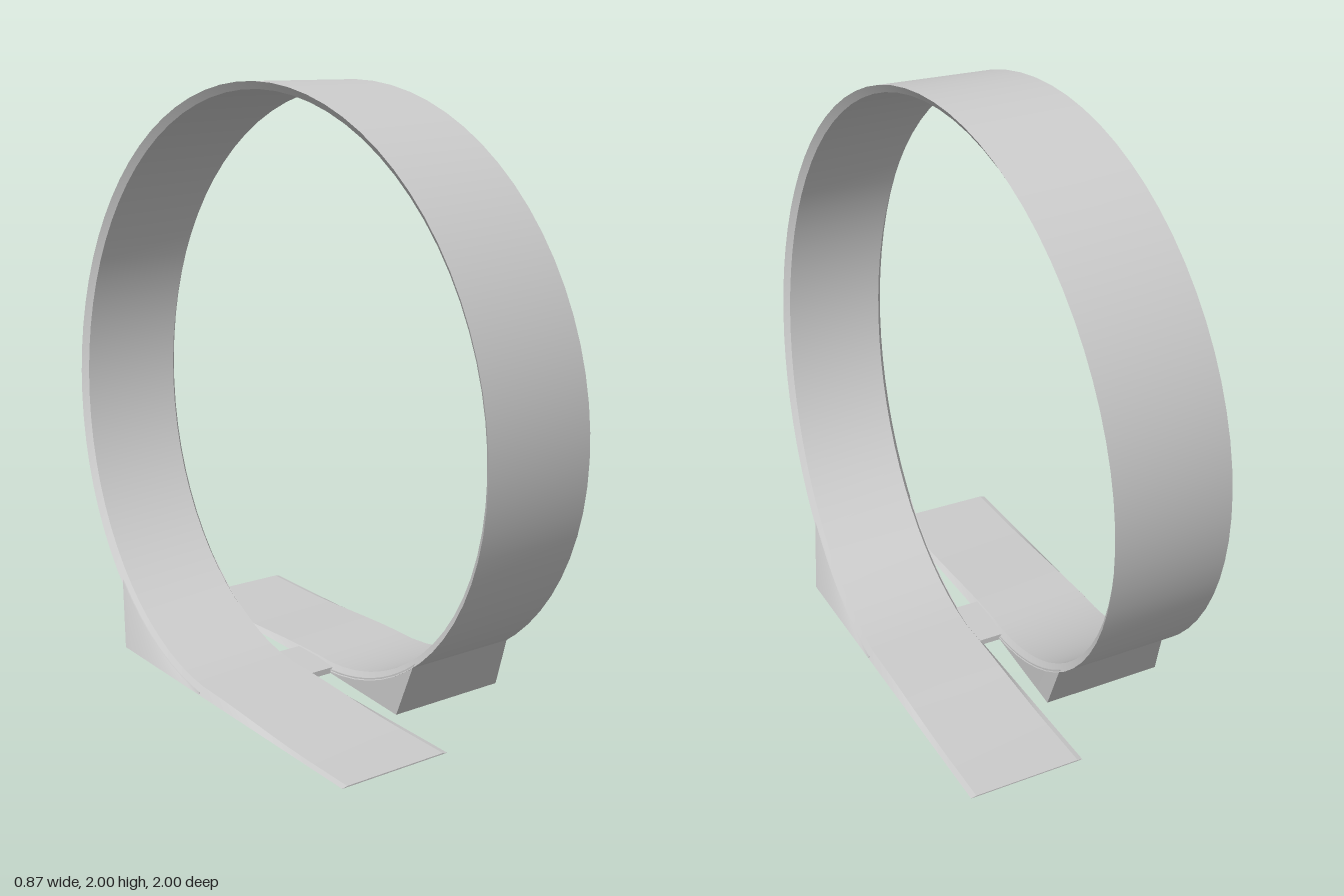
import * as THREE from 'three';

const material = new THREE.MeshStandardMaterial({ color: 0xcccccc });
const SHIFT = 0.235;   // sideways drift from the crown to the foot of the loop
const HALF = 0.2;      // half width of the track
const BEVEL = 0.018;   // how much narrower the running surface is
const THICK = 0.025;

// Skin a list of four-cornered sections: smooth lengthwise, sharp at the corners
function loft(sections) {
  const pos = [], idx = [], n = sections.length;
  for (let k = 0; k < 4; k++) {
    const base = pos.length / 3;
    for (const s of sections) pos.push(...s[k], ...s[(k + 1) % 4]);
    for (let i = 0; i < n - 1; i++) {
      const a = base + i * 2;
      idx.push(a, a + 2, a + 1, a + 1, a + 2, a + 3);
    }
  }
  const cap = (s, order) => {
    const base = pos.length / 3;
    s.forEach(p => pos.push(...p));
    idx.push(...order.map(i => base + i));
  };
  cap(sections[0], [0, 1, 2, 0, 2, 3]);
  cap(sections[n - 1], [0, 2, 1, 0, 3, 2]);
  const g = new THREE.BufferGeometry();
  g.setAttribute('position', new THREE.Float32BufferAttribute(pos, 3));
  g.setIndex(idx);
  g.computeVertexNormals();
  return g;
}

function addMesh(parent, name, geometry) {
  const mesh = new THREE.Mesh(geometry, material);
  mesh.name = name;
  parent.add(mesh);
  return mesh;
}

// Section of the loop at an angle measured from the crown
function loopSection(phi) {
  const x = SHIFT * phi / Math.PI, inner = 1 - THICK;
  const at = (dx, r) => [x + dx, 1 + r * Math.cos(phi), r * Math.sin(phi)];
  return [at(-HALF, 1), at(HALF, 1), at(HALF - BEVEL, inner), at(BEVEL - HALF, inner)];
}

// Section of a flat run that thins out towards its tip
function runSection(x, z) {
  const t = Math.min(Math.abs(z) / 0.6, 1);
  const y = 0.004 + (THICK - 0.004) * (1 - t * t * (3 - 2 * t));
  return [[x - HALF, 0, z], [x + HALF, 0, z],
    [x + HALF - BEVEL, y, z], [x - HALF + BEVEL, y, z]];
}

export function createModel() {
  const group = new THREE.Group();
  group.name = 'loopTrack';

  // Track: entry run, corkscrew loop, exit run
  const sections = [];
  for (let i = 0; i < 8; i++) sections.push(runSection(-SHIFT, 0.8 - i * 0.1));
  for (let i = 0; i <= 72; i++) sections.push(loopSection(-Math.PI + i * Math.PI / 36));
  for (let i = 1; i <= 8; i++) sections.push(runSection(SHIFT, -i * 0.1));
  addMesh(group, 'track', loft(sections));

  // Support wedges filling the space between the loop and the floor
  const wedge = [], start = Math.PI - Math.asin(0.61), steps = 12;
  for (let i = 0; i <= steps; i++) {
    const t = i / steps, phi = start + (Math.PI - start) * t;
    const x = SHIFT * phi / Math.PI, r = 0.992;
    const y = 1 + r * Math.cos(phi), zTop = r * Math.sin(phi), z = 0.5 * (1 - t);
    wedge.push([[0.005 + 0.03 * t, 0, z], [SHIFT + HALF, 0, z],
      [x + HALF - 0.002, y, zTop], [x - HALF + 0.002, y, zTop]]);
  }
  const wedgeGeometry = loft(wedge);
  addMesh(group, 'frontSupport', wedgeGeometry);
  addMesh(group, 'backSupport', wedgeGeometry).rotation.y = Math.PI;

  // Bridge joining the two runs at the foot of the loop
  const bridge = addMesh(group, 'centreBridge', new THREE.BoxGeometry(0.11, 0.02, 0.22));
  bridge.position.y = 0.01;

  return group;
}
